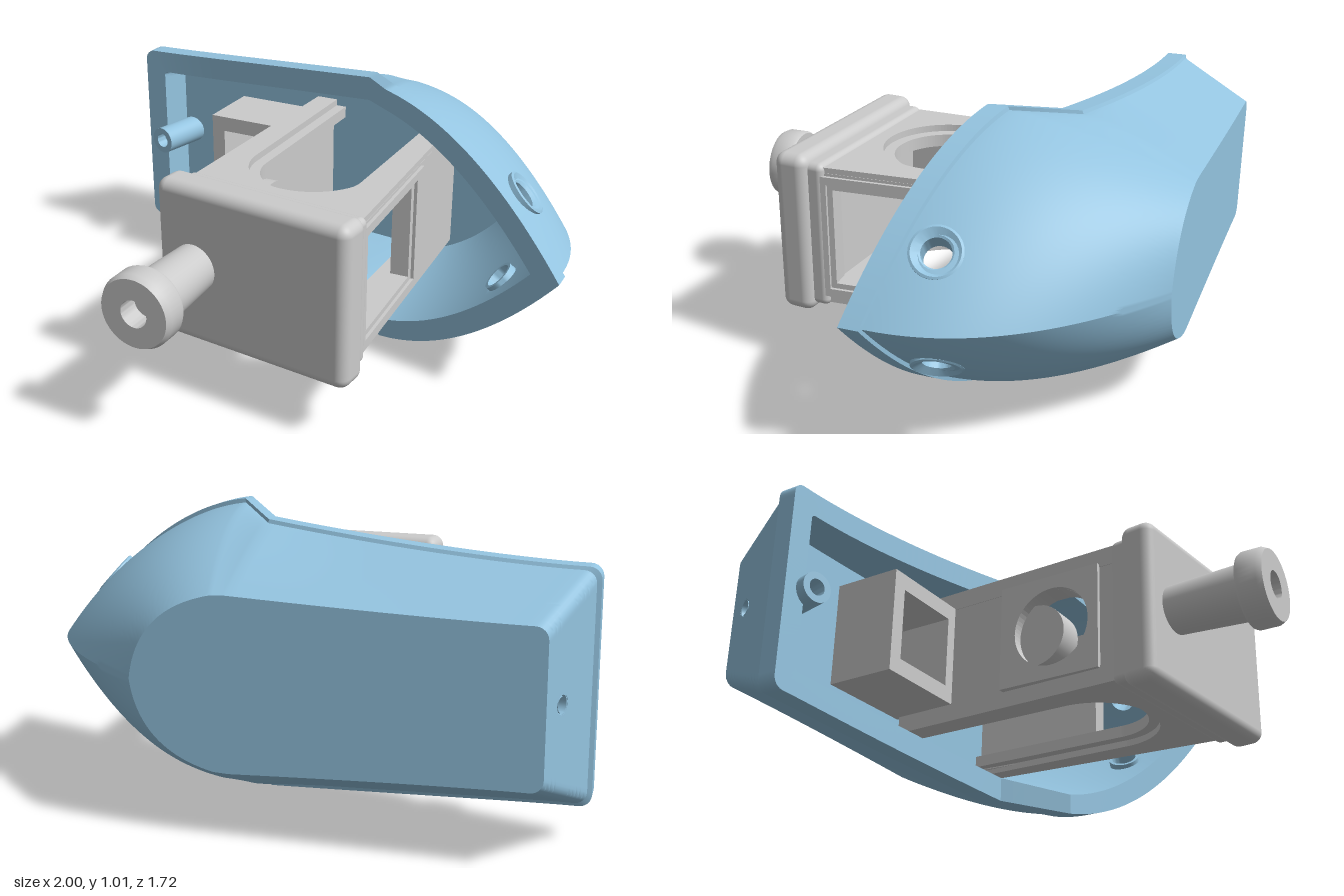
import * as THREE from 'three';
import { toCreasedNormals } from 'three/addons/utils/BufferGeometryUtils.js';
import { RoundedBoxGeometry } from 'three/addons/geometries/RoundedBoxGeometry.js';

const V = (x, y, z) => new THREE.Vector3(x, y, z);
const lerp = THREE.MathUtils.lerp;
const blue = new THREE.MeshStandardMaterial({ color: 0x94c4e0 });
const grey = new THREE.MeshStandardMaterial({ color: 0xcccccc });

function mesh(name, geometry, material, parent) {
  const m = new THREE.Mesh(geometry, material);
  m.name = name;
  parent.add(m);
  return m;
}

// Half outline: tail wall, rounded corner, long side, kink, pointed nose
function outline({ tail, h0, r, h1, kinkX, kinkH, ctrl, nose }) {
  const p = [];
  for (let i = 0; i < 24; i++) p.push([tail, (h0 - r) * i / 24]);
  for (let i = 0; i < 6; i++) {
    const a = Math.PI / 2 * i / 6;
    p.push([tail + r - r * Math.cos(a), h0 - r + r * Math.sin(a)]);
  }
  for (let i = 0; i < 30; i++) {
    const t = i / 30;
    p.push([lerp(tail + r, 0.1, t), lerp(h0, h1, t ** 1.4)]);
  }
  for (let i = 0; i < 6; i++) p.push([lerp(0.1, kinkX, i / 6), lerp(h1, kinkH, i / 6)]);
  const n = 60;
  for (let i = 0; i <= n; i++) {
    const t = i / n, s = 1 - t;
    p.push([s * s * kinkX + 2 * s * t * ctrl[0] + t * t * nose, s * s * kinkH + 2 * s * t * ctrl[1]]);
  }
  // Mirror to a closed loop
  return p.concat(p.slice(1, -1).reverse().map(([x, y]) => [x, -y]));
}

// Height of the open rim along the shell
function rimZ(x) {
  if (x < 0.1) return -0.51 + 0.13 * Math.max(0, (x + 1) / 1.1) ** 1.8;
  if (x < 0.26) return lerp(-0.38, -0.17, (x - 0.1) / 0.16);
  return lerp(-0.17, 0.04, (x - 0.26) / 0.74);
}

const holes = [
  { c: V(0.79, 0.2, -0.2), d: V(0.72, 0.67, -0.2).normalize(), r: 0.057, reach: 0.2 },
  { c: V(0.79, -0.2, -0.2), d: V(0.72, -0.67, -0.2).normalize(), r: 0.057, reach: 0.2 },
  { c: V(-0.913, 0, -0.77), d: V(-0.93, 0, -0.37).normalize(), r: 0.03, reach: 0.06 },
];

function shellGeometry() {
  const rim = outline({ tail: -1, h0: 0.38, r: 0.04, h1: 0.465, kinkX: 0.26, kinkH: 0.505, ctrl: [0.64, 0.447], nose: 1 });
  const back = outline({ tail: -0.88, h0: 0.25, r: 0.04, h1: 0.285, kinkX: 0.15, kinkH: 0.283, ctrl: [0.4, 0.23], nose: 0.43 });
  const inner = outline({ tail: -0.91, h0: 0.295, r: 0.015, h1: 0.375, kinkX: 0.26, kinkH: 0.43, ctrl: [0.58, 0.36], nose: 0.89 });
  const floor = outline({ tail: -0.893, h0: 0.28, r: 0.015, h1: 0.32, kinkX: 0.26, kinkH: 0.335, ctrl: [0.5, 0.27], nose: 0.66 });
  const power = (x) => 1 + 1.2 * THREE.MathUtils.smoothstep(x, -0.3, 1);
  const n = rim.length, rows = [], wall = 48, inside = 30;
  const row = (f) => rows.push(rim.map((_, i) => f(i)));
  // Back face, outer wall, lip, rim, inner wall, floor
  row(() => V(-0.2, 0, -0.86));
  for (let j = wall; j >= 0; j--) row((i) => {
    const [x, y] = rim[i], t = j / wall, k = t ** power(x);
    return V(lerp(x * 0.985, back[i][0], k), lerp(y * 0.972, back[i][1], k), lerp(rimZ(x) - 0.075, -0.86, t));
  });
  row((i) => V(rim[i][0], rim[i][1], rimZ(rim[i][0]) - 0.07));
  row((i) => V(rim[i][0], rim[i][1], rimZ(rim[i][0])));
  for (let j = 0; j <= inside; j++) row((i) => {
    const [x, y] = inner[i], t = j / inside, k = t ** power(x);
    return V(lerp(x, floor[i][0], k), lerp(y, floor[i][1], k), lerp(rimZ(x), -0.64, t));
  });
  row(() => V(-0.2, 0, -0.64));

  // Push points inside a hole out to its edge
  const pts = rows.flat(), cut = new Set();
  pts.forEach((p, k) => {
    for (const { c, d, r, reach } of holes) {
      const q = p.clone().sub(c), along = q.dot(d);
      if (Math.abs(along) > reach) continue;
      q.addScaledVector(d, -along);
      if (q.length() >= r) continue;
      p.addScaledVector(q.clone().normalize(), r - q.length());
      cut.add(k);
    }
  });
  const index = [];
  const tri = (a, b, c) => {
    if (cut.has(a) && cut.has(b) && cut.has(c)) return;
    const area = pts[b].clone().sub(pts[a]).cross(pts[c].clone().sub(pts[a])).length();
    if (area > 1e-9) index.push(a, b, c);
  };
  for (let j = 0; j < rows.length - 1; j++) for (let i = 0; i < n; i++) {
    const a = j * n + i, b = j * n + (i + 1) % n;
    tri(a, a + n, b);
    tri(b, a + n, b + n);
  }
  const g = new THREE.BufferGeometry().setFromPoints(pts);
  g.setIndex(index);
  return toCreasedNormals(g, 0.5);
}

const lathe = (points, seg = 40) =>
  toCreasedNormals(new THREE.LatheGeometry(points.map(([r, y]) => new THREE.Vector2(r, y)), seg), 0.5);
const aim = (m, pos, dir) => {
  m.position.copy(pos);
  m.quaternion.setFromUnitVectors(V(0, 1, 0), dir);
};

function rectPath(path, x0, y0, x1, y1) {
  path.moveTo(x0, y0);
  path.lineTo(x1, y0);
  path.lineTo(x1, y1);
  path.lineTo(x0, y1);
  path.closePath();
  return path;
}
const extrude = (shape, depth) => new THREE.ExtrudeGeometry(shape, { depth, bevelEnabled: false, curveSegments: 32 });

// Plate with a round-ended slot open to the back
function forkPlate(slot, depth) {
  const s = new THREE.Shape(), cx = 0.08;
  s.moveTo(-0.26, -0.4);
  s.lineTo(0.43, -0.45);
  s.lineTo(0.37, 0.62);
  s.lineTo(cx + slot, 0.62);
  s.lineTo(cx + slot, -0.05);
  s.absarc(cx, -0.05, slot, 0, Math.PI, true);
  s.lineTo(cx - slot, 0.62);
  s.lineTo(-0.235, 0.62);
  s.closePath();
  return extrude(s, depth).rotateX(-Math.PI / 2);
}

// Side wall in the z-y plane with one opening, growing towards -x
function sideWall(z0, z1, h, hole, depth) {
  const s = rectPath(new THREE.Shape(), z0, -h, z1, h);
  s.holes.push(hole);
  return extrude(s, depth).rotateY(-Math.PI / 2);
}

export function createModel() {
  const model = new THREE.Group();
  const all = new THREE.Group();
  all.name = 'headAssembly';
  all.position.y = 0.508;
  model.add(all);

  // Outer shell with hole linings and screw boss
  mesh('shell', shellGeometry(), blue, all);
  for (const { c, d } of holes.slice(0, 2)) {
    const ring = lathe([[0.05, -0.1], [0.062, -0.1], [0.062, -0.02], [0.088, -0.02], [0.088, 0.006], [0.08, 0.01], [0.05, -0.008], [0.05, -0.1]]);
    aim(mesh('noseHoleRing', ring, blue, all), c, d);
  }
  aim(mesh('tailScrewHole', lathe([[0, -0.09], [0.026, -0.09], [0.026, 0.002], [0.034, 0.002], [0.034, -0.05]], 24), blue, all), holes[2].c, holes[2].d);
  const boss = lathe([[0.055, -0.2], [0.055, 0], [0.03, 0], [0.03, -0.1], [0, -0.1]], 32);
  aim(mesh('screwBoss', boss, blue, all), V(-0.905, 0, -0.457), V(-0.22, 0, 0.97).normalize());

  // Mount body: stepped fork plates above and below
  const mount = new THREE.Group();
  mount.name = 'mount';
  all.add(mount);
  mesh('upperForkOuter', forkPlate(0.23, 0.025), grey, mount).position.y = 0.235;
  mesh('upperForkInner', forkPlate(0.19, 0.045), grey, mount).position.y = 0.19;
  mesh('lowerForkInner', forkPlate(0.19, 0.045), grey, mount).position.y = -0.235;
  mesh('lowerForkOuter', forkPlate(0.23, 0.025), grey, mount).position.y = -0.26;

  // Side walls: framed window on the left, round opening on the right
  const windowWall = sideWall(-0.62, 0.4, 0.24, rectPath(new THREE.Path(), -0.1, -0.18, 0.34, 0.18), 0.07);
  const frame = sideWall(-0.2, 0.4, 0.23, rectPath(new THREE.Path(), -0.13, -0.2, 0.36, 0.2), 0.02);
  for (const [name, g, x] of [['windowWall', windowWall, 0.406], ['windowFrame', frame, 0.418]]) {
    const m = mesh(name, g, grey, mount);
    m.position.x = x;
    m.rotation.y = 0.057;
  }
  const round = () => new THREE.Path().absarc(0.06, 0, 0.15, 0, Math.PI * 2, false);
  const roundWall = mesh('roundOpeningWall', sideWall(-0.62, 0.4, 0.24, round(), 0.07), grey, mount);
  roundWall.position.x = -0.178;
  roundWall.rotation.y = -0.024;
  mesh('roundOpeningPad', sideWall(-0.15, 0.25, 0.2, round(), 0.03), grey, mount).position.x = -0.24;
  const stub = mesh('pivotStub', new THREE.CylinderGeometry(0.12, 0.12, 0.1, 40), grey, mount);
  stub.rotation.z = Math.PI / 2;
  stub.position.set(-0.18, 0, -0.03);

  // Front plate, slightly turned, with a narrower neck behind it
  const plate = new THREE.Group();
  plate.name = 'frontPlate';
  plate.position.set(0.077, 0, 0.452);
  plate.rotation.y = -0.1;
  mount.add(plate);
  mesh('plate', new RoundedBoxGeometry(0.77, 0.6, 0.13, 5, 0.04), grey, plate);
  mesh('plateNeck', new RoundedBoxGeometry(0.715, 0.545, 0.12, 4, 0.025), grey, plate).position.z = -0.06;

  // Flared knob with a blind hole
  const knob = mesh('knob', lathe([[0.085, 0.44], [0.1, 0.765], [0.13, 0.765], [0.135, 0.775], [0.135, 0.84],
    [0.125, 0.86], [0.05, 0.86], [0.05, 0.78], [0, 0.78]], 48), grey, mount);
  knob.rotation.x = Math.PI / 2;
  knob.position.x = -0.155;

  // Hollow rectangular socket behind the mount
  const s = rectPath(new THREE.Shape(), -0.6, -0.195, -0.22, 0.195);
  s.holes.push(rectPath(new THREE.Path(), -0.545, -0.135, -0.28, 0.135));
  mesh('socketFrame', extrude(s, 0.28), grey, mount).position.z = -0.66;

  return model;
}
